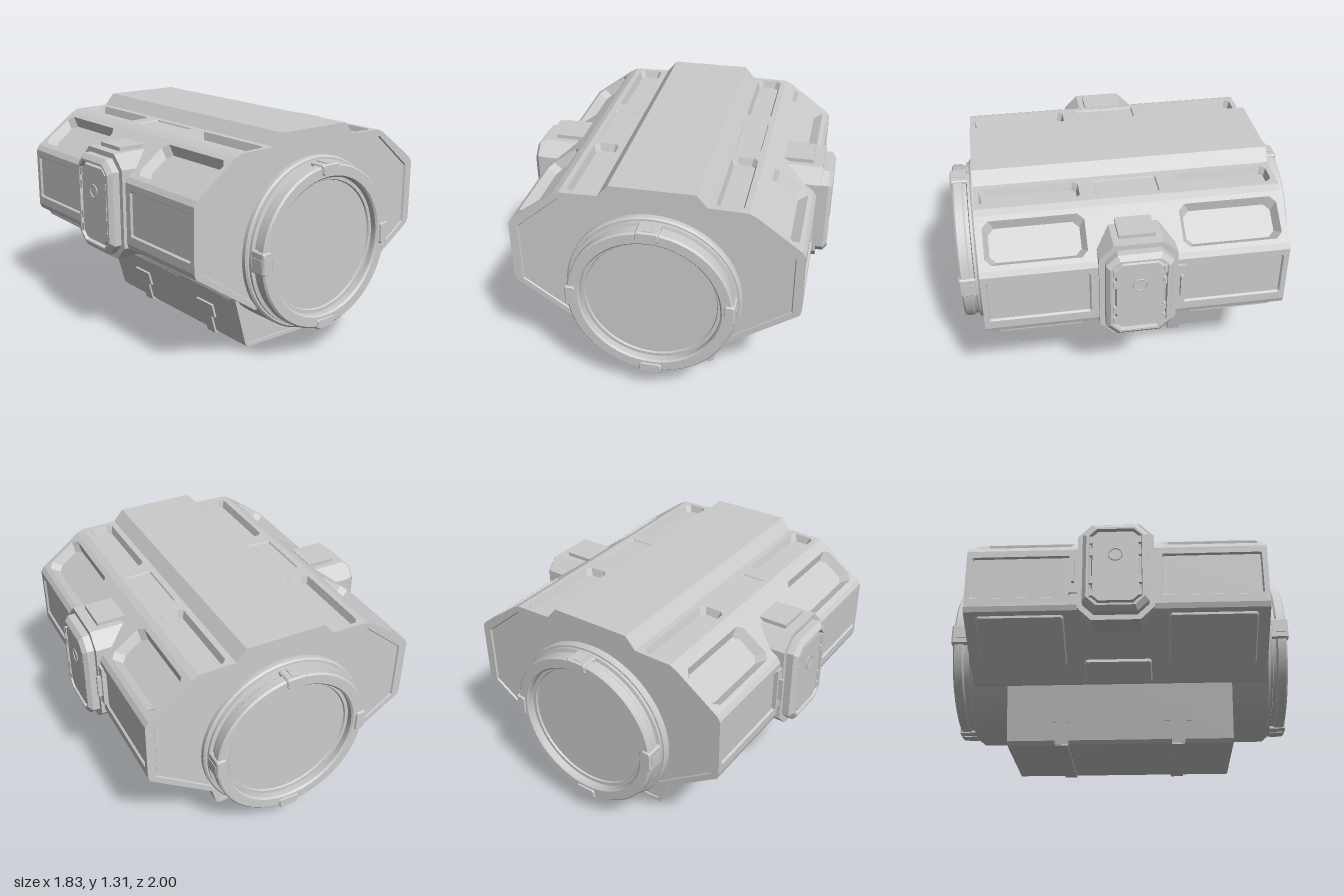
import * as THREE from 'three';
import { toCreasedNormals } from 'three/addons/utils/BufferGeometryUtils.js';

const material = new THREE.MeshStandardMaterial({ color: 0xcccccc });
const V2 = (x, y) => new THREE.Vector2(x, y);

function add(parent, name, geometry) {
  const mesh = new THREE.Mesh(geometry, material);
  mesh.name = name;
  parent.add(mesh);
  return mesh;
}

// Skins counter-clockwise outlines [{pts, w}] stacked along w, closing the last one
function loft(rings) {
  const pos = [];
  const put = (p, w) => pos.push(p.x, p.y, w);
  for (let k = 0; k + 1 < rings.length; k++) {
    const a = rings[k], b = rings[k + 1], n = a.pts.length;
    for (let i = 0; i < n; i++) {
      const j = (i + 1) % n;
      put(a.pts[i], a.w); put(a.pts[j], a.w); put(b.pts[j], b.w);
      put(a.pts[i], a.w); put(b.pts[j], b.w); put(b.pts[i], b.w);
    }
  }
  const { pts, w } = rings[rings.length - 1];
  for (const tri of THREE.ShapeUtils.triangulateShape(pts, [])) tri.forEach(i => put(pts[i], w));
  const g = new THREE.BufferGeometry();
  g.setAttribute('position', new THREE.Float32BufferAttribute(pos, 3));
  g.computeVertexNormals();
  return g;
}

// Rectangle with cut corners
function octagon(u, v, a, b, c) {
  return [[-a + c, -b], [a - c, -b], [a, -b + c], [a, b - c], [a - c, b], [-a + c, b], [-a, b - c], [-a, -b + c]]
    .map(([x, y]) => V2(u + x, v + y));
}

const mirrored = half => [...half, ...half.slice().reverse().map(([x, y]) => [-x, y])].map(p => V2(...p));

const HALF = 0.86;
const profile = [[0.42, 0.34], [0.82, 0.61], [0.83, 0.64], [0.83, 1.0], [0.81, 1.03],
  [0.56, 1.215], [0.52, 1.235], [0.30, 1.24], [0.24, 1.31]];
const endInset = [[0.40, 0.365], [0.78, 0.625], [0.78, 0.985], [0.53, 1.195]];

// Panels per profile segment: [z centre, v centre, half z, half v, depth, inset, corner]
const both = (z, ...rest) => [[z, ...rest], [-z, ...rest]];
const panels = {
  0: [...both(0.545, 0.285, 0.25, 0.17, 0.012, 0.008, 0.012), [0, 0.085, 0.195, 0.075, 0.015, 0.008, 0.01]],
  2: both(0.545, 0.185, 0.285, 0.135, -0.012, 0.008, 0.008),
  4: both(0.545, 0.155, 0.28, 0.125, -0.055, 0.028, 0.035),
  6: [...both(0.55, 0.108, 0.28, 0.075, -0.045, 0.013, 0.025), [0, 0.108, 0.18, 0.075, -0.01, 0.005, 0.006]],
};

// One flank: every strip of the profile with its recessed or raised panels
function buildFlank() {
  const flank = new THREE.Group();
  flank.name = 'bodyFlank';
  for (let i = 0; i + 1 < profile.length; i++) {
    const p = V2(...profile[i]), q = V2(...profile[i + 1]);
    const t = q.clone().sub(p), len = t.length();
    t.normalize();
    const frame = new THREE.Matrix4().makeBasis(
      new THREE.Vector3(0, 0, -1), new THREE.Vector3(t.x, t.y, 0), new THREE.Vector3(t.y, -t.x, 0));
    frame.setPosition(p.x, p.y, 0);
    const shape = new THREE.Shape([V2(-HALF, 0), V2(HALF, 0), V2(HALF, len), V2(-HALF, len)]);
    for (const [u, v, a, b, d, s, c] of panels[i] || []) {
      const rim = octagon(u, v, a, b, c);
      shape.holes.push(new THREE.Path(rim));
      add(flank, d < 0 ? 'recessedPanel' : 'raisedPanel',
        loft([{ pts: rim, w: 0 }, { pts: octagon(u, v, a - s, b - s, c), w: d }]).applyMatrix4(frame));
    }
    add(flank, 'bodyStrip', new THREE.ShapeGeometry(shape).applyMatrix4(frame));
  }
  return flank;
}

// End plate with a thin raised border, and the round port with its clips
function buildEnd() {
  const end = new THREE.Group();
  end.name = 'bodyEnd';
  const inner = mirrored(endInset);
  const border = new THREE.Shape(mirrored(profile));
  border.holes.push(new THREE.Path(inner));
  add(end, 'endBorder', new THREE.ShapeGeometry(border)).position.z = HALF;
  add(end, 'endPlate', loft([{ pts: inner, w: HALF },
    { pts: inner.map(p => V2(p.x * 0.993, 0.78 + (p.y - 0.78) * 0.993)), w: HALF - 0.01 }]));

  const port = [[0.505, 0], [0.505, 0.875], [0.495, 0.885], [0.485, 0.885], [0.485, 0.9], [0.465, 0.905],
    [0.465, 0.925], [0.475, 0.935], [0.475, 0.98], [0.465, 0.99], [0.41, 0.99], [0.40, 0.98], [0.40, 0.945],
    [0.38, 0.945], [0.375, 0.935], [0, 0.935]].map(p => V2(...p));
  const lathe = new THREE.LatheGeometry(port, 64).rotateX(Math.PI / 2);
  add(end, 'roundPort', toCreasedNormals(lathe, 0.5)).position.y = 0.65;

  for (let i = 0; i < 4; i++) {
    const clip = new THREE.Group();
    clip.name = 'portClip';
    clip.position.y = 0.65;
    clip.rotation.z = i * Math.PI / 2;
    add(clip, 'clipBlock', loft([{ pts: octagon(0.452, 0, 0.03, 0.064, 0.008), w: 0.9 },
      { pts: octagon(0.452, 0, 0.03, 0.064, 0.008), w: 0.99 }, { pts: octagon(0.45, 0, 0.025, 0.058, 0.008), w: 1.0 }]));
    add(clip, 'clipRib', new THREE.BoxGeometry(0.01, 0.05, 0.08)).position.set(0.481, 0, 0.945);
    end.add(clip);
  }
  return end;
}

// Side pod with a stepped, framed cover
function buildPod() {
  const pod = new THREE.Group();
  pod.name = 'sidePod';
  const frame = new THREE.Matrix4().makeBasis(
    new THREE.Vector3(0, 0, -1), new THREE.Vector3(0, 1, 0), new THREE.Vector3(1, 0, 0));
  const rings = [[0.6, 0.218, 0.31, 0.08], [0.85, 0.218, 0.31, 0.08], [0.85, 0.187, 0.28, 0.065],
    [0.892, 0.187, 0.28, 0.065], [0.915, 0.165, 0.252, 0.055], [0.915, 0.15, 0.24, 0.045],
    [0.892, 0.145, 0.235, 0.045], [0.892, 0.138, 0.228, 0.04], [0.908, 0.13, 0.22, 0.035]];
  add(pod, 'podShell', loft(rings.map(([w, a, b, c]) => ({ pts: octagon(0, 0.84, a, b, c), w }))).applyMatrix4(frame));
  add(pod, 'podTopTab', new THREE.BoxGeometry(0.17, 0.06, 0.205)).position.set(0.705, 1.143, 0);
  const knob = add(pod, 'knobRing', new THREE.TorusGeometry(0.038, 0.005, 6, 24));
  knob.position.set(0.908, 0.915, 0);
  knob.rotation.y = Math.PI / 2;
  for (const y of [0.67, 0.75, 0.93, 1.01]) for (const z of [-0.137, 0.137]) {
    add(pod, 'coverCatch', new THREE.BoxGeometry(0.02, 0.045, 0.02)).position.set(0.903, y, z);
  }
  return pod;
}

// Tapered foot block with straps
function buildBase() {
  const base = new THREE.Group();
  base.name = 'base';
  const outline = mirrored([[0.295, 0.006], [0.315, 0.025], [0.405, 0.36]]);
  const inner = mirrored([[0.28, 0.028], [0.295, 0.04], [0.375, 0.345]]);
  for (const turn of [0, Math.PI]) {
    add(base, 'baseBlock', loft([{ pts: outline, w: 0 }, { pts: outline, w: 0.66 },
      { pts: inner, w: 0.66 }, { pts: inner, w: 0.65 }])).rotation.y = turn;
  }
  const lean = Math.atan2(0.09, 0.335);
  for (const z of [-0.34, 0.34]) {
    add(base, 'strap', new THREE.BoxGeometry(0.6, 0.012, 0.075)).position.set(0, 0.006, z);
    for (const s of [-1, 1]) {
      const upper = add(base, 'strapHead', new THREE.BoxGeometry(0.022, 0.09, 0.155));
      upper.position.set(s * 0.357, 0.17, z);
      const lower = add(base, 'strapFoot', new THREE.BoxGeometry(0.026, 0.13, 0.078));
      lower.position.set(s * 0.325, 0.068, z);
      upper.rotation.z = lower.rotation.z = -s * lean;
    }
  }
  return base;
}

export function createModel() {
  const model = new THREE.Group();
  model.name = 'equipmentCase';
  for (const turn of [0, Math.PI]) {
    for (const part of [buildFlank(), buildEnd(), buildPod()]) {
      part.rotation.y = turn;
      model.add(part);
    }
  }
  // Flat top of the spine, and the underside
  add(model, 'spineTop', new THREE.PlaneGeometry(0.48, 2 * HALF).rotateX(-Math.PI / 2)).position.y = 1.31;
  add(model, 'underside', new THREE.PlaneGeometry(0.84, 2 * HALF).rotateX(Math.PI / 2)).position.y = 0.34;
  model.add(buildBase());
  // Small latch beside each pod
  for (const s of [-1, 1]) {
    add(model, 'latchPlate', new THREE.BoxGeometry(0.03, 0.26, 0.05)).position.set(s * 0.83, 0.84, -0.242);
    add(model, 'latchBar', new THREE.BoxGeometry(0.04, 0.14, 0.015)).position.set(s * 0.85, 0.84, -0.243);
  }
  return model;
}
